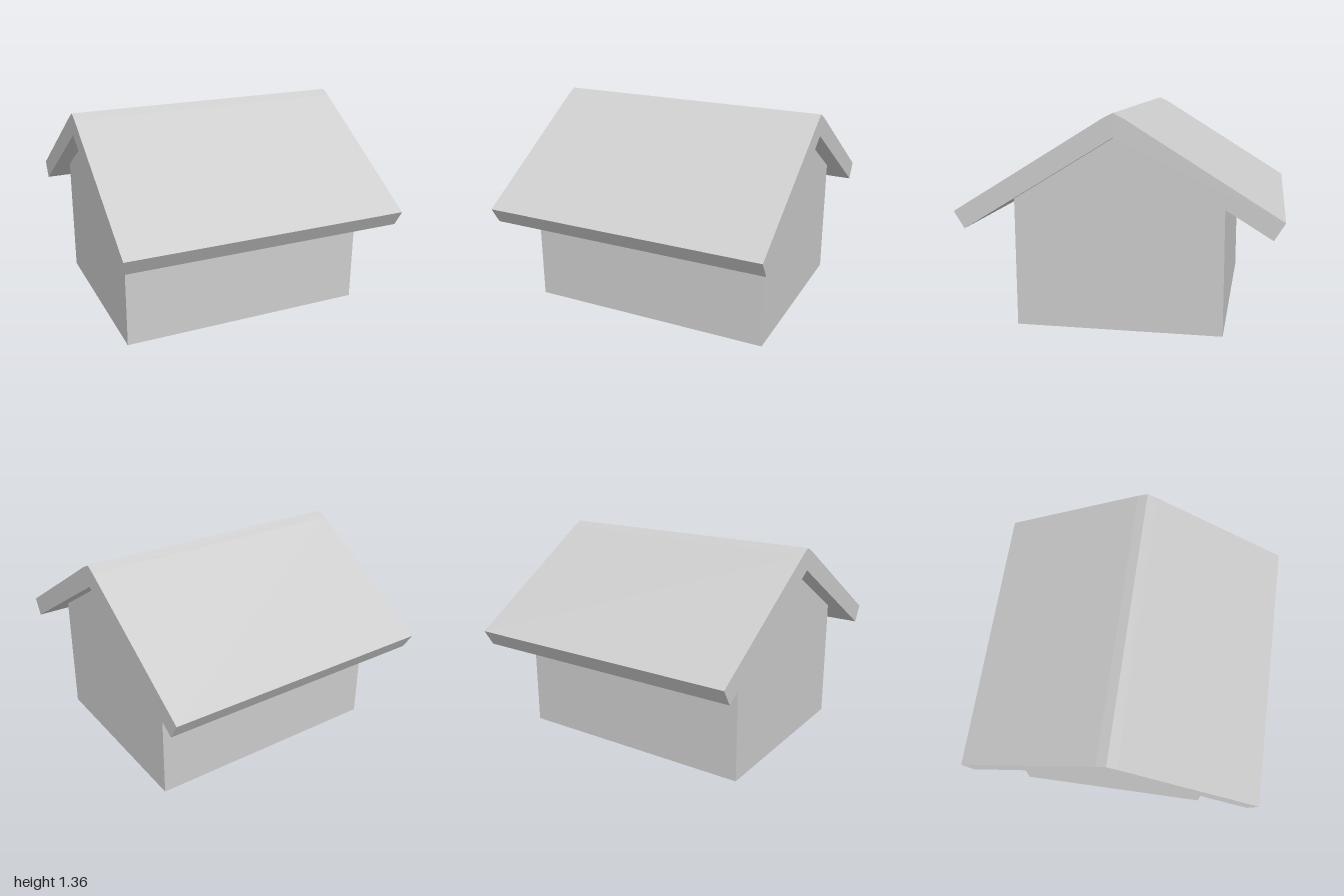
import * as THREE from 'three';

const material = new THREE.MeshStandardMaterial({ color: 0xcccccc, flatShading: true });

// Extrudes a symmetric (z, y) outline along x, centred on x = 0.
// "half" runs from the bottom centre line or edge round the +z side to the top.
function prism(name, points, length) {
  const shape = new THREE.Shape(points.map(([z, y]) => new THREE.Vector2(z, y)));
  const geometry = new THREE.ExtrudeGeometry(shape, { depth: length, bevelEnabled: false });
  geometry.translate(0, 0, -length / 2);
  geometry.rotateY(-Math.PI / 2);
  const mesh = new THREE.Mesh(geometry, material);
  mesh.name = name;
  return mesh;
}

const mirrored = (points) => points.map(([z, y]) => [-z, y]).reverse();

export function createModel() {
  const group = new THREE.Group();
  group.name = 'house';

  // Walls with a gable at each end
  const wall = [[0.65, 0], [0.65, 0.813]];
  group.add(prism('walls', [...wall, [0, 1.213], ...mirrored(wall)], 1.65));

  // Thick pitched roof with square-cut eaves and a slightly flatter ridge cap
  const slope = [[0.935, 0.638], [1, 0.745], [0.065, 1.322]];
  group.add(prism('roof', [[0, 1.213], ...slope, [0, 1.355], ...mirrored(slope)], 1.87));

  return group;
}
